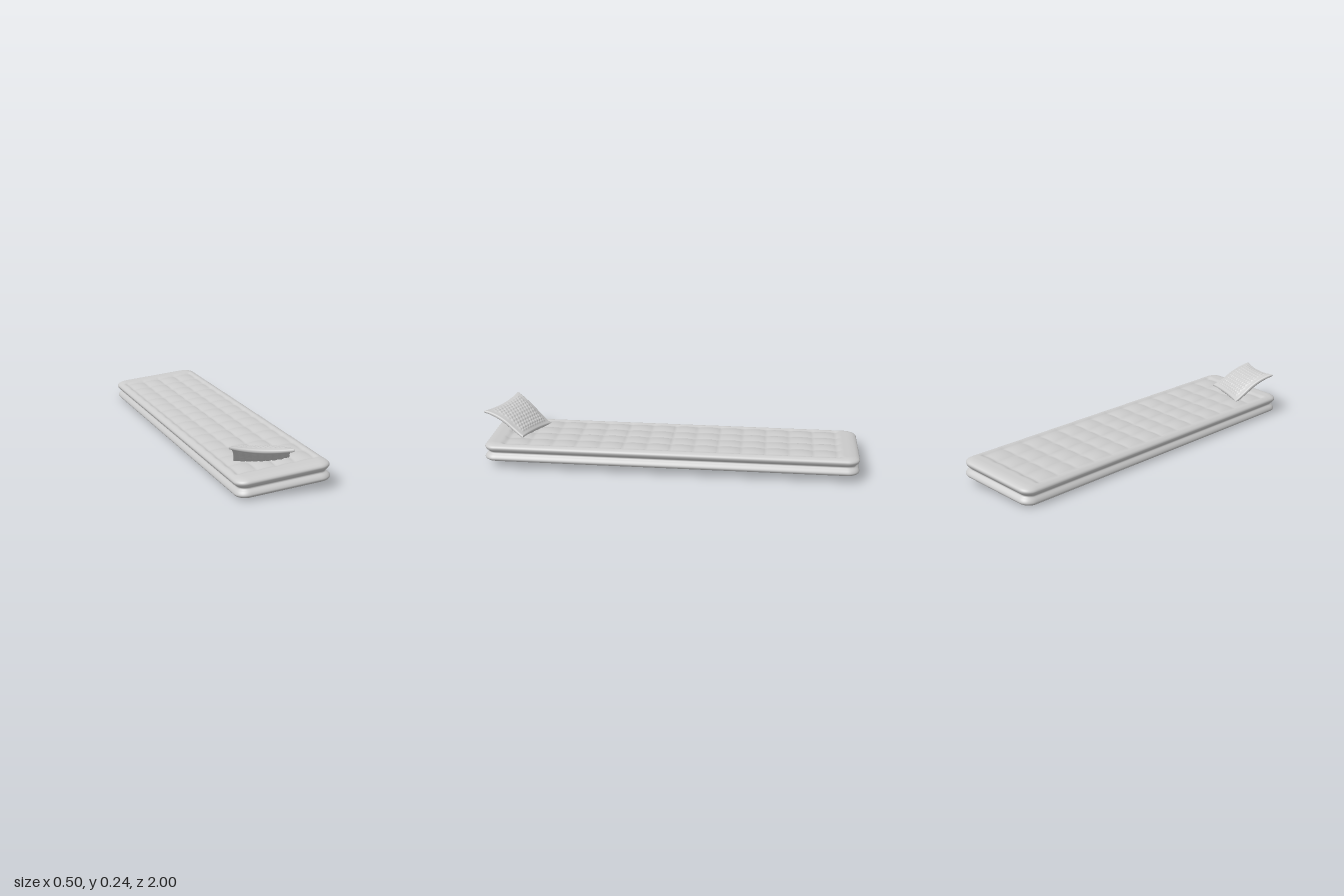
import * as THREE from 'three';
import { mergeGeometries, mergeVertices } from 'three/addons/utils/BufferGeometryUtils.js';

const { clamp, lerp, smoothstep } = THREE.MathUtils;
const TILT = Math.atan(0.085);

// Surface from fn(i, j) -> Vector3; front side is (dj x di), or the reverse if flipped
function sheet(ni, nj, fn, flip = false) {
  const pos = [], idx = [];
  for (let j = 0; j <= nj; j++) for (let i = 0; i <= ni; i++) pos.push(...fn(i, j).toArray());
  for (let j = 0; j < nj; j++) for (let i = 0; i < ni; i++) {
    const a = j * (ni + 1) + i, b = a + 1, c = a + ni + 1, d = c + 1;
    if (flip) idx.push(a, b, c, b, d, c);
    else idx.push(a, c, b, b, c, d);
  }
  const g = new THREE.BufferGeometry();
  g.setAttribute('position', new THREE.Float32BufferAttribute(pos, 3));
  g.setIndex(idx);
  return g;
}

// Join sheets into one smooth closed skin
function weld(parts) {
  const g = mergeVertices(mergeGeometries(parts), 1e-5);
  g.computeVertexNormals();
  return g;
}

// Mattress: rounded rectangle with a pinched waist and a tufted top
function mattressGeometry() {
  const W = 0.242, L = 0.9775, R = 0.06, NX = 64, NZ = 240;

  // Grid point pulled into a rounded rectangle that is inset from the outline
  function plan(i, j, inset) {
    const w = W - inset, l = L - inset, r = R - inset * 0.8;
    const x = (i / NX * 2 - 1) * w, z = (j / NZ * 2 - 1) * l;
    const dx = Math.max(0, Math.abs(x) - (w - r)), dz = Math.max(0, Math.abs(z) - (l - r));
    const len = Math.hypot(dx, dz), k = len > 0 ? Math.max(dx, dz) / len : 1;
    return new THREE.Vector3(
      dx > 0 ? Math.sign(x) * (w - r + dx * k) : x, 0,
      dz > 0 ? Math.sign(z) * (l - r + dz * k) : z);
  }

  // Tufting: 4 x 14 puffed cells, fading out at the border
  const CX = 0.098, CZ = 0.1235;
  function tuft(x, z) {
    const a = Math.abs(Math.sin(Math.PI * x / CX)), b = Math.abs(Math.sin(Math.PI * z / CZ));
    const fade = (1 - smoothstep(Math.abs(x), CX * 2, CX * 2 + 0.02))
      * (1 - smoothstep(Math.abs(z), CZ * 7, CZ * 7 + 0.03));
    const puff = 0.6 * Math.sqrt(a * b) + 0.4 * (a + b) / 2;
    return -0.011 * (1 - puff) * fade;
  }

  // Side profile: (inset, height), mirrored top to bottom
  const half = [[0.02, -0.046], [0.005, -0.038], [0, -0.028], [0.007, -0.014]];
  const profile = new THREE.CatmullRomCurve3([
    ...half, [0.021, 0], ...half.map(([d, y]) => [d, -y]).reverse(),
  ].map(([d, y]) => new THREE.Vector3(d, y, 0))).getPoints(24);

  // Walk round the border of the grid
  const loop = [];
  for (let j = 0; j < NZ; j++) loop.push([NX, j]);
  for (let i = NX; i > 0; i--) loop.push([i, NZ]);
  for (let j = NZ; j > 0; j--) loop.push([0, j]);
  for (let i = 0; i <= NX; i++) loop.push([i, 0]);

  const cap = (sign) => sheet(NX, NZ, (i, j) => {
    const p = plan(i, j, 0.02);
    const edge = Math.min(Math.min(i, NX - i) / NX * 2 * W, Math.min(j, NZ - j) / NZ * 2 * L);
    p.y = sign * (0.046 + 0.004 * Math.sin(Math.PI / 2 * clamp(edge / 0.03, 0, 1)));
    if (sign > 0) p.y += tuft(p.x, p.z);
    return p;
  }, sign < 0);

  const side = sheet(loop.length - 1, 24, (i, j) => {
    const p = plan(...loop[i], profile[j].x);
    p.y = profile[j].y;
    return p;
  });
  return weld([cap(1), cap(-1), side]);
}

// Pillow: S-curved cushion resting on its back edge, front edge lifted
function pillowGeometry() {
  const N = 84;
  const backL = [-0.145, 0.668], backR = [0.105, 0.772], frontL = [-0.25, 0.872], frontR = [0.022, 0.998];
  const height = new THREE.SplineCurve([
    [0, 0.112], [0.25, 0.143], [0.5, 0.182], [0.75, 0.211], [1, 0.228],
  ].map(([s, y]) => new THREE.Vector2(s, y)));

  // Middle surface
  function mid(u, v) {
    const s = (u * (1 - 0.06 * (1 - v * v) * u * u) + 1) / 2;
    const t = (v * (1 - 0.06 * (1 - u * u) * v * v) + 1) / 2;
    const at = (k) => lerp(lerp(backL[k], backR[k], s), lerp(frontL[k], frontR[k], s), t);
    const y = height.getPoint(clamp(t, 0, 1)).y
      + lerp(0.012 * u, 0.014 * u * u - 0.01 - 0.004 * u, t);
    return new THREE.Vector3(at(0), y, at(1));
  }

  // Small rounded bumps, staggered by row on the upper side
  function bumps(u, v, sign) {
    const n = sign > 0 ? 6.5 : 4.5;
    const row = (v + 1) * n, shift = sign > 0 && Math.floor(row) % 2 ? 0.5 : 0;
    const a = Math.abs(Math.sin(Math.PI * ((u + 1) * n + shift))), b = Math.abs(Math.sin(Math.PI * row));
    const fade = 1 - smoothstep(Math.max(Math.abs(u), Math.abs(v)), 0.68, 0.85);
    return (sign > 0 ? 0.006 : 0.005) * Math.sqrt(a * b) * fade;
  }

  const skin = (sign) => sheet(N, N, (i, j) => {
    const ease = (k) => { const p = k / N * 2 - 1; return lerp(p, Math.sin(p * Math.PI / 2), 0.6); };
    const u = ease(i), v = ease(j), h = 0.01;
    const du = mid(u + h, v).sub(mid(u - h, v)), dv = mid(u, v + h).sub(mid(u, v - h));
    const normal = dv.cross(du).normalize();
    const e = Math.min(1 - Math.abs(u), 1 - Math.abs(v));
    const rim = 0.007 * Math.sqrt(Math.max(0, 1 - (1 - Math.min(1, e / 0.06)) ** 2));
    const fill = 0.016 * ((1 - u * u) * (1 - v * v)) ** 0.8;
    return mid(u, v).addScaledVector(normal, sign * (rim + fill + bumps(u, v, sign)));
  }, sign < 0);
  return weld([skin(1), skin(-1)]);
}

export function createModel() {
  const group = new THREE.Group();
  const material = new THREE.MeshStandardMaterial({ color: 0xcccccc });

  const mattress = new THREE.Mesh(mattressGeometry(), material);
  mattress.name = 'mattress';
  mattress.rotation.z = TILT;
  mattress.position.set(0.007, 0.067, -0.0225);

  const pillow = new THREE.Mesh(pillowGeometry(), material);
  pillow.name = 'pillow';

  group.add(mattress, pillow);
  return group;
}
